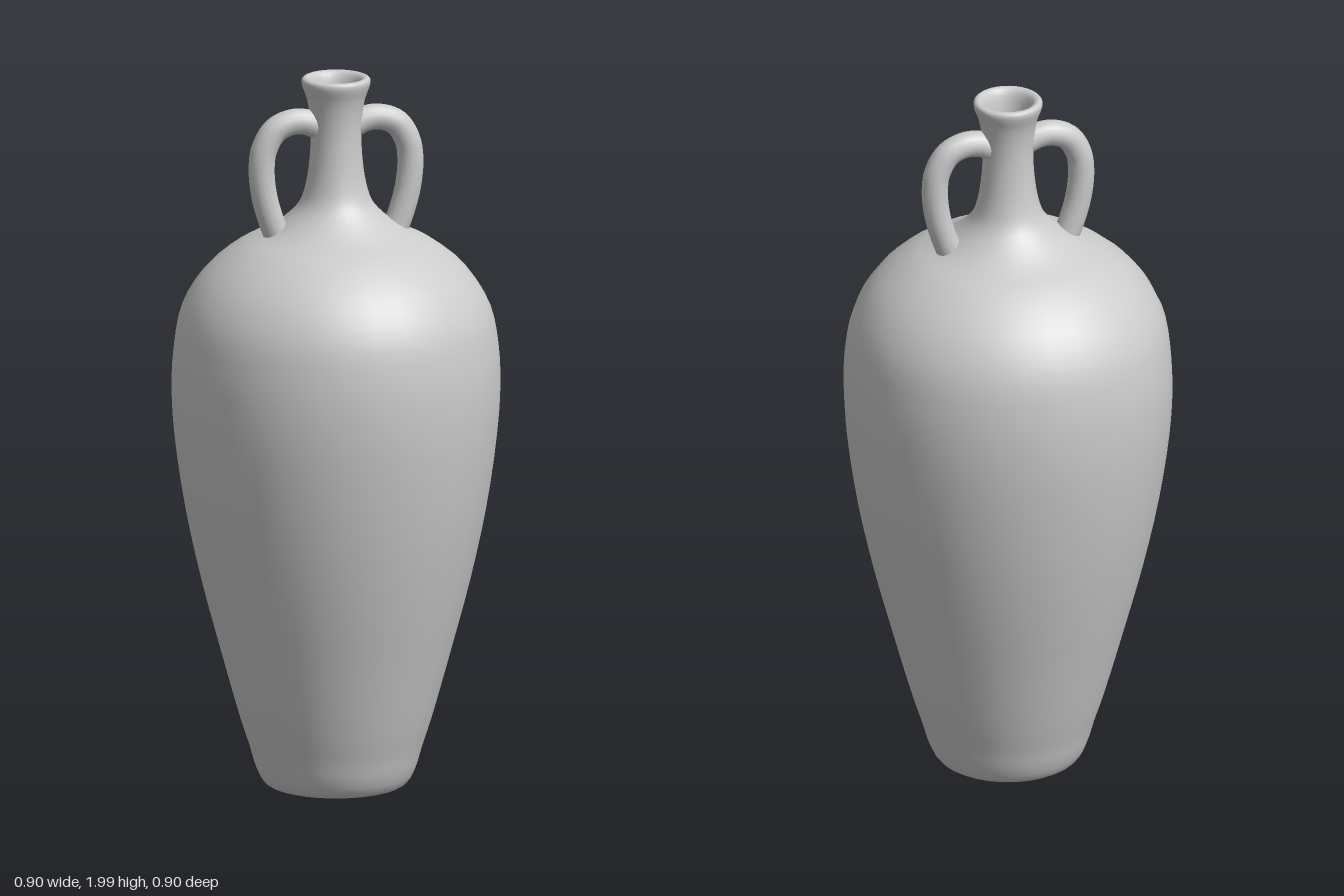
import * as THREE from 'three';

const material = new THREE.MeshStandardMaterial({ color: 0xcccccc, side: THREE.DoubleSide });

// Smooth curve through [x, y] pairs
const spline = (pairs) =>
  new THREE.CatmullRomCurve3(pairs.map(([x, y]) => new THREE.Vector3(x, y, 0)), false, 'centripetal');

function addMesh(parent, geometry, name) {
  const mesh = new THREE.Mesh(geometry, material);
  mesh.name = name;
  parent.add(mesh);
  return mesh;
}

// Hollow body: up the outside, over the rolled lip, down the inside
function createVessel(parent) {
  const profile = spline([
    [0, 0.012], [0.1, 0.008], [0.16, 0.008], [0.195, 0.02], [0.218, 0.06], [0.236, 0.12],
    [0.262, 0.2], [0.318, 0.4], [0.371, 0.6], [0.414, 0.8], [0.443, 1.0], [0.451, 1.13],
    [0.446, 1.24], [0.424, 1.35], [0.365, 1.45], [0.27, 1.53], [0.19, 1.57], [0.135, 1.61],
    [0.1, 1.65], [0.083, 1.7], [0.072, 1.78], [0.07, 1.87], [0.08, 1.94],
    [0.094, 1.98], [0.093, 1.995], [0.082, 2.0], [0.068, 1.99], [0.057, 1.95], [0.05, 1.88],
    [0.051, 1.78], [0.06, 1.69], [0.09, 1.61], [0.18, 1.54], [0.34, 1.43], [0.4, 1.33],
    [0.424, 1.13], [0.386, 0.8], [0.29, 0.4], [0.2, 0.1], [0.15, 0.045], [0, 0.04],
  ]);
  const points = profile.getPoints(120).map((p) => new THREE.Vector2(Math.max(p.x, 0), p.y));
  points[0].x = points[points.length - 1].x = 0;
  addMesh(parent, new THREE.LatheGeometry(points, 32), 'vessel');
}

// Round loop from the neck down to the shoulder; side is +1 (left) or -1 (right)
function createHandle(side) {
  const handle = new THREE.Group();
  handle.name = side > 0 ? 'leftHandle' : 'rightHandle';
  const radius = 0.036;
  const path = spline([
    [0.053, 1.865], [0.085, 1.878], [0.125, 1.88], [0.172, 1.86], [0.203, 1.81],
    [0.211, 1.755], [0.204, 1.68], [0.185, 1.61], [0.16, 1.545],
  ].map(([x, y]) => [side * x, y]));
  addMesh(handle, new THREE.TubeGeometry(path, 40, radius, 16), 'handleLoop');

  // Rounded ends buried in the walls
  for (const t of [0, 1]) {
    const end = addMesh(handle, new THREE.SphereGeometry(radius, 16, 10), 'handleEnd');
    end.position.copy(path.getPoint(t));
  }
  return handle;
}

export function createModel() {
  const model = new THREE.Group();
  model.name = 'amphora';
  createVessel(model);
  for (const side of [1, -1]) model.add(createHandle(side));
  return model;
}
